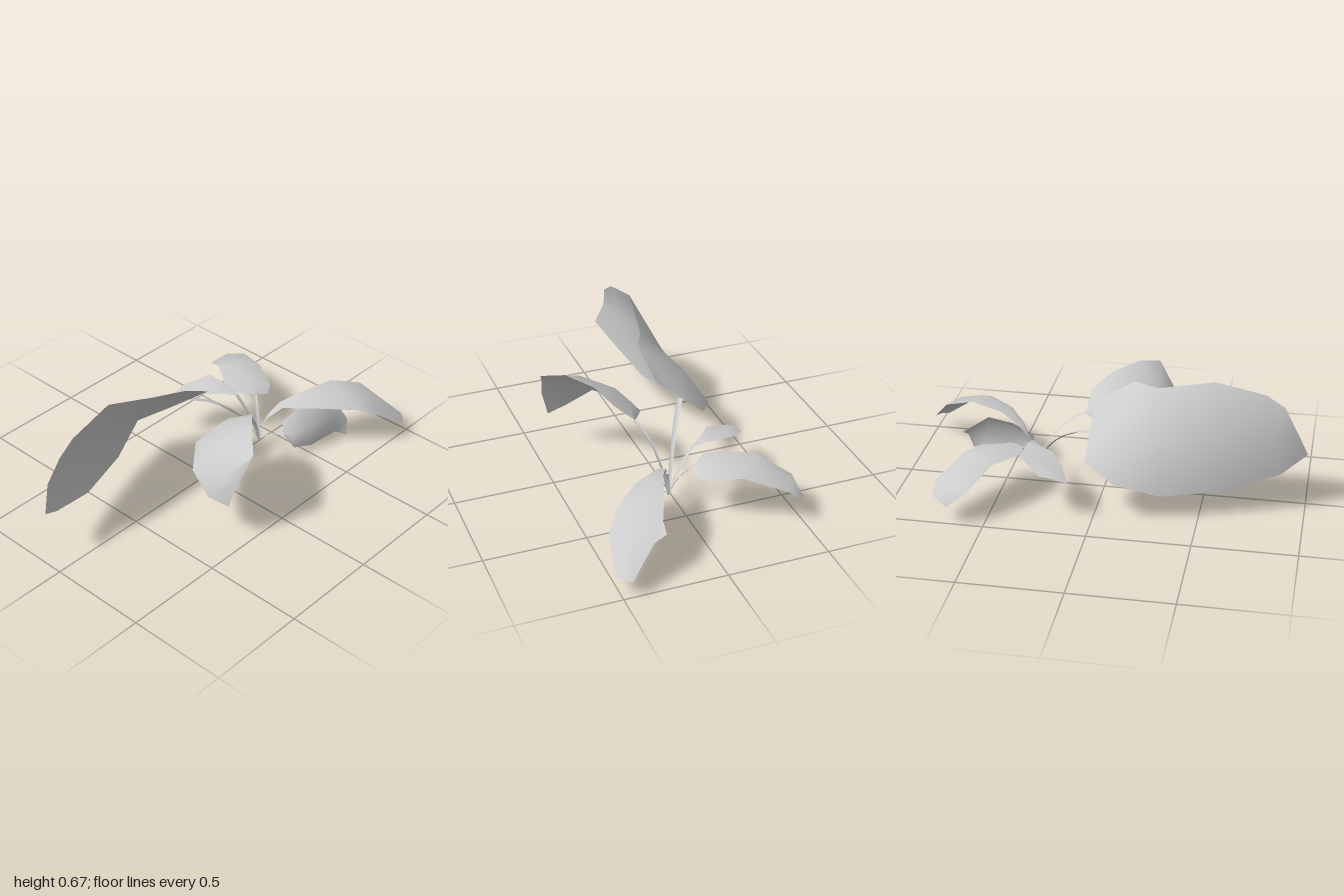
import * as THREE from 'three';

const vec = p => new THREE.Vector3(...p);
const crown = new THREE.Vector3(0.36, 0.045, 0.035);

// Cross-sections [edge, midrib, edge] between two outlines; the midrib is lifted by arch
function bladeRows({ left, right, arch }) {
  const centres = left.map((p, i) => vec(p).lerp(vec(right[i]), 0.5));
  const last = centres.length - 1;
  return centres.map((centre, i) => {
    const ahead = centres[Math.min(i + 1, last)], behind = centres[Math.max(i - 1, 0)];
    const half = vec(left[i]).sub(centre);
    const lift = ahead.clone().sub(behind).normalize().cross(half).multiplyScalar(i ? arch : 0);
    return [vec(left[i]), centre.clone().add(lift), vec(right[i])];
  });
}

// Cross-sections of a flat, slightly grooved stalk arching from the crown to the midrib
function stalkRows(end, rise, width) {
  const bend = crown.clone().lerp(end, 0.3);
  bend.y += rise;
  const curve = new THREE.QuadraticBezierCurve3(crown, bend, end);
  const side = end.clone().sub(crown).setY(0).normalize().cross(new THREE.Vector3(0, 1, 0));
  return curve.getPoints(6).map((point, i) => {
    const half = side.clone().multiplyScalar(THREE.MathUtils.lerp(0.007, width, i / 6));
    const groove = point.clone();
    groove.y -= width * 0.5;
    return [point.clone().sub(half), groove, point.clone().add(half)];
  });
}

// Skin the cross-sections with a smooth sheet
function sheet(name, rows, material) {
  const index = [];
  for (let r = 0; r < rows.length - 1; r++) {
    for (let c = 0; c < 2; c++) {
      const a = r * 3 + c, b = a + 3;
      index.push(a, a + 1, b, a + 1, b + 1, b);
    }
  }
  const geometry = new THREE.BufferGeometry().setFromPoints(rows.flat());
  geometry.setIndex(index);
  geometry.computeVertexNormals();
  const mesh = new THREE.Mesh(geometry, material);
  mesh.name = name;
  return mesh;
}

function createLeaf(name, material, shape) {
  const rows = bladeRows(shape);
  const leaf = new THREE.Group();
  leaf.name = name;
  leaf.add(
    sheet('blade', rows, material),
    sheet('stalk', stalkRows(rows[0][1], shape.rise, shape.width), material),
  );
  return leaf;
}

export function createModel() {
  const leafGrey = new THREE.MeshStandardMaterial({ color: 0xcccccc, side: THREE.DoubleSide });
  leafGrey.name = 'leafGrey';

  const plant = new THREE.Group();
  plant.name = 'plant';

  // Largest leaf, reaching far to the right
  plant.add(createLeaf('largeLeaf', leafGrey, {
    left: [[0.04, 0.48, -0.025], [-0.15, 0.59, 0], [-0.27, 0.59, -0.06],
      [-0.55, 0.665, -0.105], [-0.79, 0.61, -0.09], [-0.88, 0.55, -0.085]],
    right: [[0.05, 0.27, -0.27], [-0.11, 0.215, -0.37], [-0.32, 0.135, -0.3],
      [-0.62, 0.14, -0.2], [-0.88, 0.22, -0.13], [-1, 0.305, -0.07]],
    arch: 0.2, rise: 0.17, width: 0.014,
  }));

  plant.add(createLeaf('frontRightLeaf', leafGrey, {
    left: [[0.115, 0.35, 0.125], [0.1, 0.43, 0.215], [0.01, 0.5, 0.285],
      [-0.11, 0.525, 0.39], [-0.205, 0.49, 0.485], [-0.215, 0.46, 0.478]],
    right: [[0.12, 0.34, 0.115], [-0.02, 0.3, 0.035], [-0.13, 0.3, 0.05],
      [-0.3, 0.3, 0.19], [-0.33, 0.225, 0.32], [-0.305, 0.21, 0.425]],
    arch: 0.2, rise: 0.16, width: 0.008,
  }));

  plant.add(createLeaf('frontLeftLeaf', leafGrey, {
    left: [[0.395, 0.2, 0.06], [0.45, 0.255, 0.085], [0.55, 0.295, 0.14],
      [0.72, 0.312, 0.2], [0.88, 0.25, 0.27], [1, 0.085, 0.455]],
    right: [[0.385, 0.18, 0.065], [0.43, 0.25, 0.125], [0.53, 0.265, 0.27],
      [0.67, 0.25, 0.41], [0.77, 0.2, 0.485], [0.94, 0.08, 0.515]],
    arch: 0.2, rise: 0.05, width: 0.012,
  }));

  // Small upright leaf near the ground
  plant.add(createLeaf('lowLeaf', leafGrey, {
    left: [[0.395, 0.14, 0.165], [0.41, 0.19, 0.145], [0.5, 0.225, 0.165],
      [0.64, 0.23, 0.205], [0.78, 0.13, 0.21]],
    right: [[0.395, 0.12, 0.17], [0.42, 0.055, 0.22], [0.52, 0.033, 0.25],
      [0.69, 0.038, 0.27], [0.75, 0, 0.3]],
    arch: 0.45, rise: 0.03, width: 0.006,
  }));

  plant.add(createLeaf('backLeftLeaf', leafGrey, {
    left: [[0.43, 0.24, -0.075], [0.38, 0.25, -0.13], [0.38, 0.25, -0.21],
      [0.48, 0.26, -0.36], [0.58, 0.17, -0.505], [0.67, 0.1, -0.52]],
    right: [[0.45, 0.235, -0.06], [0.52, 0.21, -0.05], [0.575, 0.225, -0.08],
      [0.65, 0.25, -0.22], [0.745, 0.19, -0.41], [0.75, 0.135, -0.475]],
    arch: 0.25, rise: 0.07, width: 0.01,
  }));

  plant.add(createLeaf('backLeaf', leafGrey, {
    left: [[0.325, 0.275, -0.1], [0.29, 0.28, -0.15], [0.21, 0.285, -0.22],
      [0.15, 0.24, -0.29], [0.11, 0.205, -0.38]],
    right: [[0.345, 0.275, -0.1], [0.352, 0.29, -0.16], [0.355, 0.29, -0.21],
      [0.355, 0.295, -0.31], [0.245, 0.24, -0.395]],
    arch: 0.15, rise: 0.06, width: 0.011,
  }));

  return plant;
}
